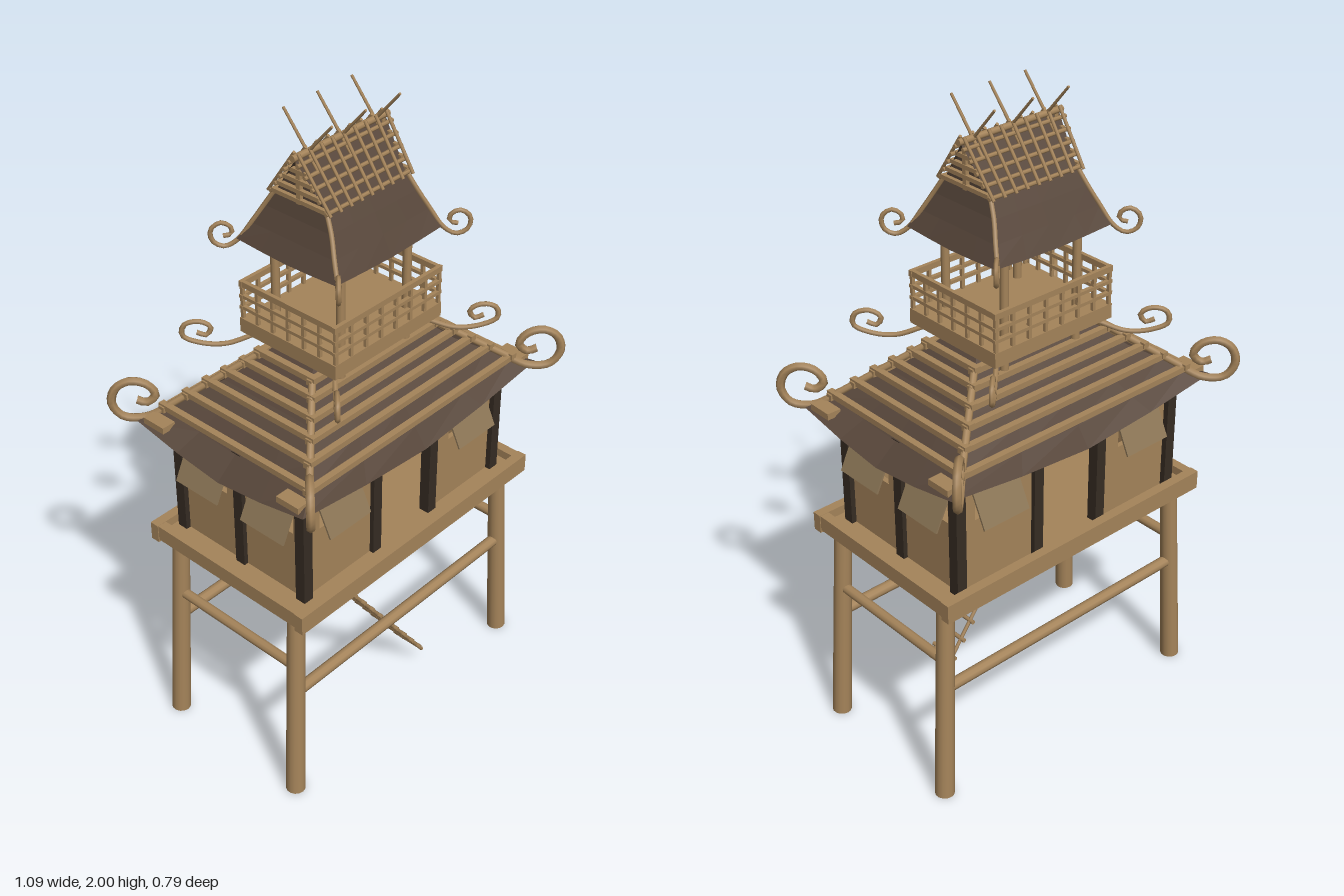
import * as THREE from 'three';

const mat = (name, color, double) => new THREE.MeshStandardMaterial({ name, color, side: double ? THREE.DoubleSide : THREE.FrontSide });

export function createModel() {
  const wood = mat('wood', 0xa5845a);
  const dark = mat('dark post', 0x362c23);
  const thatch = mat('thatch', 0x57463a, true);
  const flapMat = mat('shutter', 0x8c7656);
  const model = new THREE.Group();
  const house = new THREE.Group();
  house.name = 'house';
  house.position.z = -0.008;
  model.add(house);
  const V = (x, y, z) => new THREE.Vector3(x, y, z);

  const add = (parent, name, geo, material) => {
    const m = new THREE.Mesh(geo, material);
    m.name = name;
    parent.add(m);
    return m;
  };
  const box = (parent, name, w, h, d, x, y, z, material = wood) => {
    const m = add(parent, name, new THREE.BoxGeometry(w, h, d), material);
    m.position.set(x, y, z);
    return m;
  };
  const pole = (parent, name, a, b, r0, r1 = r0, sides = 8, material = wood) => {
    const dir = b.clone().sub(a);
    const m = add(parent, name, new THREE.CylinderGeometry(r1, r0, dir.length(), sides), material);
    m.position.copy(a).add(b).multiplyScalar(0.5);
    m.quaternion.setFromUnitVectors(V(0, 1, 0), dir.normalize());
    return m;
  };
  const corners = [[1, 1], [1, -1], [-1, -1], [-1, 1]];

  // Hipped shell from rings [halfX, halfZ, y, sag at mid side]
  const shell = (name, rings, n = 4) => {
    const pos = [], idx = [], count = n * 4;
    for (const [hx, hz, y, sag] of rings) {
      for (let s = 0; s < 4; s++) {
        const [ax, az] = corners[s], [bx, bz] = corners[(s + 1) % 4];
        for (let k = 0; k < n; k++) {
          const t = k / n, drop = sag * (1 - Math.pow(Math.abs(2 * t - 1), 1.4));
          pos.push(hx * (ax + (bx - ax) * t), y - drop, hz * (az + (bz - az) * t));
        }
      }
    }
    for (let i = 0; i < rings.length - 1; i++) {
      for (let j = 0; j < count; j++) {
        const a = i * count + j, b = i * count + (j + 1) % count;
        idx.push(a, b, b + count, a, b + count, a + count);
      }
    }
    let g = new THREE.BufferGeometry();
    g.setAttribute('position', new THREE.Float32BufferAttribute(pos, 3));
    g.setIndex(idx);
    g = g.toNonIndexed();
    g.computeVertexNormals();
    return add(house, name, g, thatch);
  };

  // Diagonal scrolls at the four corners; points are [x, y], z = x - offset
  const scrolls = (name, pts, offset, r) => {
    for (const [sx, sz] of corners) {
      const curve = new THREE.CatmullRomCurve3(pts.map(([x, y, z]) => V(sx * x, y, sz * (z ?? x - offset))));
      add(house, name, new THREE.TubeGeometry(curve, 28, r, 6), wood);
    }
  };

  // Stilts and cross poles
  for (const [sx, sz] of corners) {
    pole(model, 'stilt', V(sx * 0.487, 0, sz * 0.252), V(sx * 0.452, 0.68, sz * 0.235), 0.03, 0.026, 14);
  }
  for (const s of [1, -1]) {
    pole(model, 'longBrace', V(-0.467, 0.385, s * 0.244), V(0.467, 0.385, s * 0.244), 0.018, 0.018, 10);
    pole(model, 'shortBrace', V(s * 0.463, 0.48, -0.24), V(s * 0.463, 0.48, 0.24), 0.016, 0.016, 10);
  }

  // Deck with raised rim
  box(model, 'deck', 0.98, 0.035, 0.59, 0, 0.688, 0);
  for (const s of [1, -1]) {
    box(model, 'deckRim', 1.005, 0.06, 0.03, 0, 0.703, s * 0.292);
    box(model, 'deckRim', 0.03, 0.05, 0.57, s * 0.485, 0.707, 0);
  }

  // Ladder
  const ladderTop = V(-0.27, 0.67, 0), ladderFoot = V(0.17, 0.065, 0);
  for (const z of [0.19, 0.115]) {
    pole(model, 'ladderRail', ladderTop.clone().setZ(z), ladderFoot.clone().setZ(z), 0.006);
  }
  for (let i = 0; i < 11; i++) {
    const p = ladderTop.clone().lerp(ladderFoot, 0.06 + i * 0.088);
    pole(model, 'ladderRung', p.clone().setZ(0.098), p.clone().setZ(0.207), 0.007, 0.007, 6);
  }

  // Walls with window holes and propped shutters; local +z points outward
  const base = 0.7, top = 1.1;
  const rect = (P, x0, x1, y0, y1) => {
    const p = new P();
    p.moveTo(x0, y0); p.lineTo(x1, y0); p.lineTo(x1, y1); p.lineTo(x0, y1); p.closePath();
    return p;
  };
  const wallSide = (angle, dist, panels) => {
    const side = new THREE.Group();
    side.name = 'wallSide';
    side.rotation.y = angle;
    house.add(side);
    for (const [x0, x1, w0, w1] of panels) {
      const shape = rect(THREE.Shape, x0, x1, base, top);
      shape.holes.push(rect(THREE.Path, w0 + 0.01, w1 - 0.01, 0.92, 1.0));
      const wall = add(side, 'wallPanel', new THREE.ExtrudeGeometry(shape, { depth: 0.016, bevelEnabled: false }), wood);
      wall.position.z = dist - 0.016;
      const flap = box(side, 'windowShutter', w1 - w0, 0.108, 0.006, (w0 + w1) / 2, 0.962, dist + 0.026, flapMat);
      flap.rotation.x = -0.45;
    }
    return side;
  };
  for (const a of [0, Math.PI]) {
    const side = wallSide(a, 0.24, [[-0.415, -0.12, -0.36, -0.195], [0.12, 0.415, 0.195, 0.36]]);
    for (const x of [-0.123, 0.123]) box(side, 'doorPost', 0.034, top - base, 0.034, x, 0.9, 0.237, dark);
    box(side, 'lintel', 0.22, 0.06, 0.02, 0, 1.07, 0.232);
  }
  for (const a of [Math.PI / 2, -Math.PI / 2]) {
    const side = wallSide(a, 0.415, [[-0.235, 0, -0.212, -0.047], [0, 0.235, 0.047, 0.212]]);
    box(side, 'middlePost', 0.034, top - base, 0.034, 0, 0.9, 0.412, dark);
  }
  for (const [sx, sz] of corners) box(house, 'cornerPost', 0.034, top - base, 0.034, sx * 0.414, 0.9, sz * 0.24, dark);

  // Main roof with stepped battens
  const main = [[0.5, 0.322, 1.09, 0.05], [0.43, 0.28, 1.115, 0.018], [0.37, 0.235, 1.155, 0], [0.3, 0.17, 1.2, 0], [0.25, 0.12, 1.25, 0], [0.19, 0.07, 1.31, 0]];
  shell('mainRoof', main);
  const battens = [[0.43, 0.28, 1.12], [0.38, 0.235, 1.16], [0.335, 0.2, 1.195], [0.295, 0.165, 1.225], [0.255, 0.13, 1.255], [0.225, 0.1, 1.285]];
  for (const [hx, hz, y] of battens) {
    for (const s of [1, -1]) {
      box(house, 'roofBatten', hx * 2 + 0.03, 0.018, 0.02, 0, y, s * hz);
      box(house, 'roofBatten', 0.02, 0.018, hz * 2 + 0.03, s * hx, y + 0.006, 0);
    }
  }
  for (const [sx, sz] of corners) {
    box(house, 'eaveBlock', 0.045, 0.02, 0.08, sx * 0.472, 1.1, sz * 0.26);
    pole(house, 'hipPole', V(sx * 0.43, 1.12, sz * 0.28), V(sx * 0.22, 1.29, sz * 0.095), 0.011);
  }
  scrolls('mainRoofScroll', [[0.42, 1.125], [0.47, 1.09], [0.515, 1.095], [0.535, 1.14], [0.525, 1.19], [0.495, 1.213], [0.462, 1.2], [0.447, 1.165], [0.465, 1.14], [0.485, 1.15]], 0.15, 0.013);
  scrolls('middleScroll', [[0.19, 1.31], [0.25, 1.28], [0.3, 1.285], [0.335, 1.31], [0.33, 1.345], [0.3, 1.355], [0.278, 1.335], [0.288, 1.31], [0.307, 1.32]], 0.04, 0.008);

  // Lookout platform, posts and railing
  box(house, 'lookoutFloor', 0.44, 0.045, 0.36, 0, 1.343, 0);
  for (const [sx, sz] of corners) {
    pole(house, 'lookoutPost', V(sx * 0.135, 1.25, sz * 0.122), V(sx * 0.135, 1.68, sz * 0.122), 0.013, 0.013, 10);
  }
  for (const s of [1, -1]) {
    for (const [y, h] of [[1.475, 0.018], [1.436, 0.01], [1.4, 0.01]]) {
      box(house, 'railing', 0.44, h, 0.012, 0, y, s * 0.174);
      box(house, 'railing', 0.012, h, 0.36, s * 0.212, y, 0);
    }
    for (let i = 0; i <= 7; i++) box(house, 'baluster', 0.01, 0.11, 0.01, -0.212 + i * 0.0606, 1.415, s * 0.174);
    for (let i = 1; i < 6; i++) box(house, 'baluster', 0.01, 0.11, 0.01, s * 0.212, 1.415, -0.174 + i * 0.058);
  }

  // Upper roof: flared skirt, then gable
  shell('upperRoofSkirt', [[0.218, 0.182, 1.615, 0.008], [0.19, 0.15, 1.665, 0], [0.168, 0.12, 1.72, 0], [0.155, 0.09, 1.77, 0]]);
  for (const s of [1, -1]) {
    const g = new THREE.BufferGeometry();
    const a = [-0.155 * s, 1.77, 0.09 * s], b = [0.155 * s, 1.77, 0.09 * s], c = [0.175 * s, 1.895, 0], d = [-0.175 * s, 1.895, 0];
    g.setAttribute('position', new THREE.Float32BufferAttribute([...a, ...b, ...c, ...a, ...c, ...d], 3));
    g.computeVertexNormals();
    add(house, 'gableSlope', g, thatch);
    const e = new THREE.BufferGeometry();
    e.setAttribute('position', new THREE.Float32BufferAttribute([0.153 * s, 1.77, 0.09 * s, 0.153 * s, 1.77, -0.09 * s, 0.153 * s, 1.895, 0], 3));
    e.computeVertexNormals();
    add(house, 'gableEnd', e, thatch);
    box(house, 'gablePost', 0.012, 0.13, 0.014, s * 0.16, 1.83, 0);
    for (let i = 0; i < 4; i++) {
      const y = 1.775 + i * 0.028;
      box(house, 'gableBar', 0.012, 0.012, 0.19 - i * 0.042, s * 0.162, y, 0);
    }
    // Lattice over the slope
    const at = (t, lift) => [1.895 - 0.125 * t + lift, s * (0.09 * t + lift)];
    for (let i = 0; i < 5; i++) {
      const [y, z] = at(0.12 + i * 0.23, 0.006), hx = 0.184 - i * 0.004;
      pole(house, 'latticeBar', V(-hx, y, z), V(hx, y, z), 0.006, 0.006, 6);
    }
    for (let i = 0; i <= 8; i++) {
      const x = -0.17 + i * 0.0425, [y0, z0] = at(-0.06, 0.012), [y1, z1] = at(1.12, 0.012);
      pole(house, 'rafter', V(x, y0, z0), V(x * 0.95, y1, z1), 0.005, 0.005, 6);
    }
    // Crossed finials
    for (const x of [-0.127, 0, 0.133]) pole(house, 'finial', V(x, 1.86, -s * 0.035), V(x, 2, s * 0.085), 0.005, 0.004, 6);
  }
  pole(house, 'ridgePole', V(-0.185, 1.902, 0), V(0.185, 1.902, 0), 0.01);
  scrolls('upperRoofScroll', [[0.155, 1.775, 0.09], [0.17, 1.72, 0.122], [0.19, 1.667, 0.15], [0.213, 1.61], [0.238, 1.59], [0.26, 1.605], [0.264, 1.64], [0.245, 1.662], [0.226, 1.65], [0.224, 1.628], [0.24, 1.622]], 0.03, 0.007);

  return model;
}
